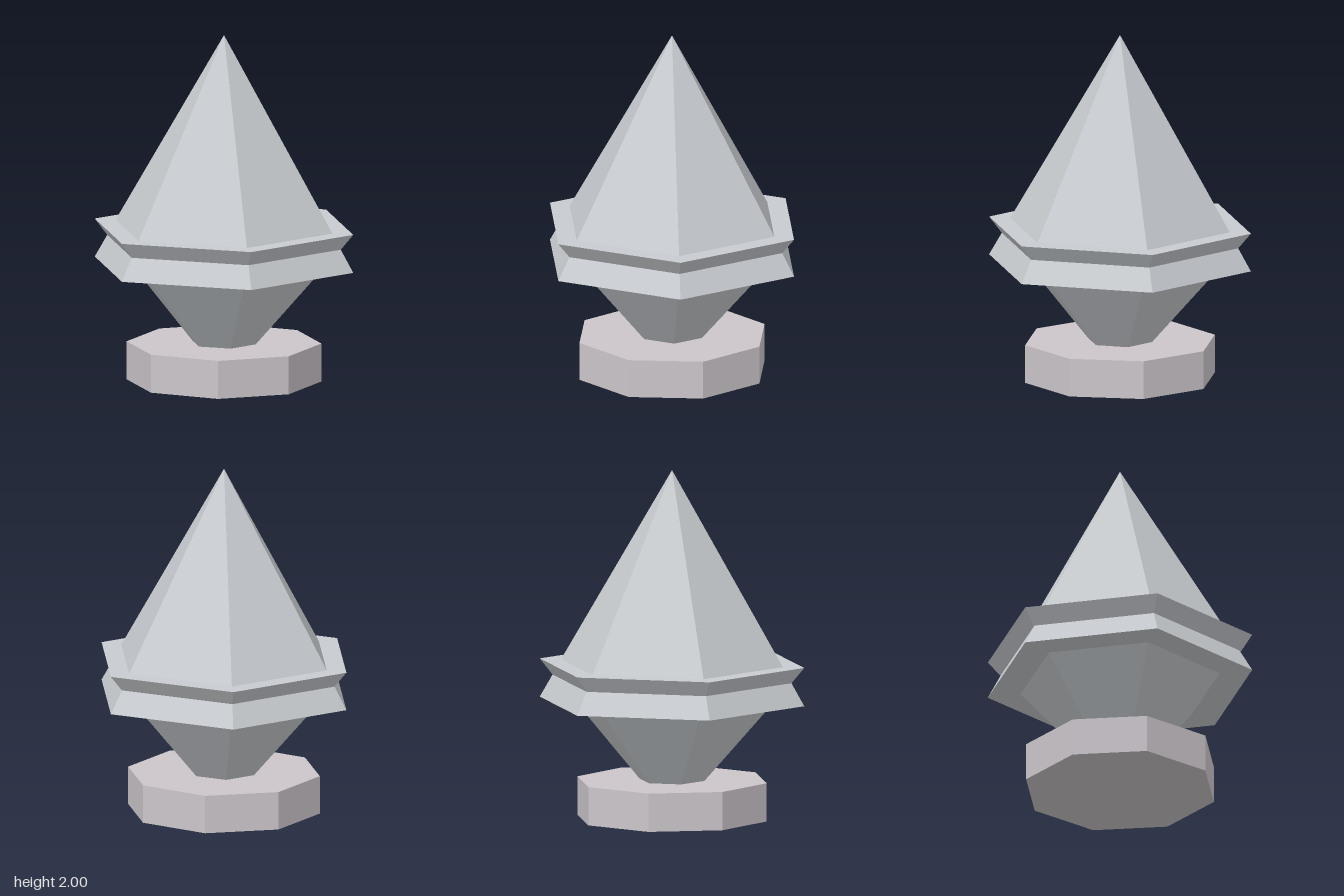
import * as THREE from 'three';

const gemMaterial = new THREE.MeshStandardMaterial({ color: 0xc8ccd0, flatShading: true });
const baseMaterial = new THREE.MeshStandardMaterial({ color: 0xccc6cb, flatShading: true });

// Faceted mesh with one normal per face
function facet(name, geometry, material, y = 0) {
  const flat = geometry.toNonIndexed();
  flat.computeVertexNormals();
  const mesh = new THREE.Mesh(flat, material);
  mesh.name = name;
  mesh.position.y = y;
  return mesh;
}

export function createModel() {
  const group = new THREE.Group();
  group.name = 'gemFinial';

  // Octagonal foot
  group.add(facet('base', new THREE.CylinderGeometry(0.555, 0.555, 0.22, 8), baseMaterial, 0.11));

  // Hexagonal stem flaring up to the collar
  group.add(facet('stem', new THREE.CylinderGeometry(0.583, 0.19, 0.45, 6, 1, true), gemMaterial, 0.445));

  // Waisted hexagonal collar with flat ledges above and below
  const profile = [[0.583, 0.67], [0.775, 0.67], [0.7, 0.8], [0.775, 0.89], [0.65, 0.89]];
  const points = profile.map(([r, y]) => new THREE.Vector2(r, y));
  group.add(facet('collar', new THREE.LatheGeometry(points, 6), gemMaterial));

  // Tall pointed top
  group.add(facet('spire', new THREE.ConeGeometry(0.65, 1.11, 6, 1, true), gemMaterial, 1.445));

  return group;
}
